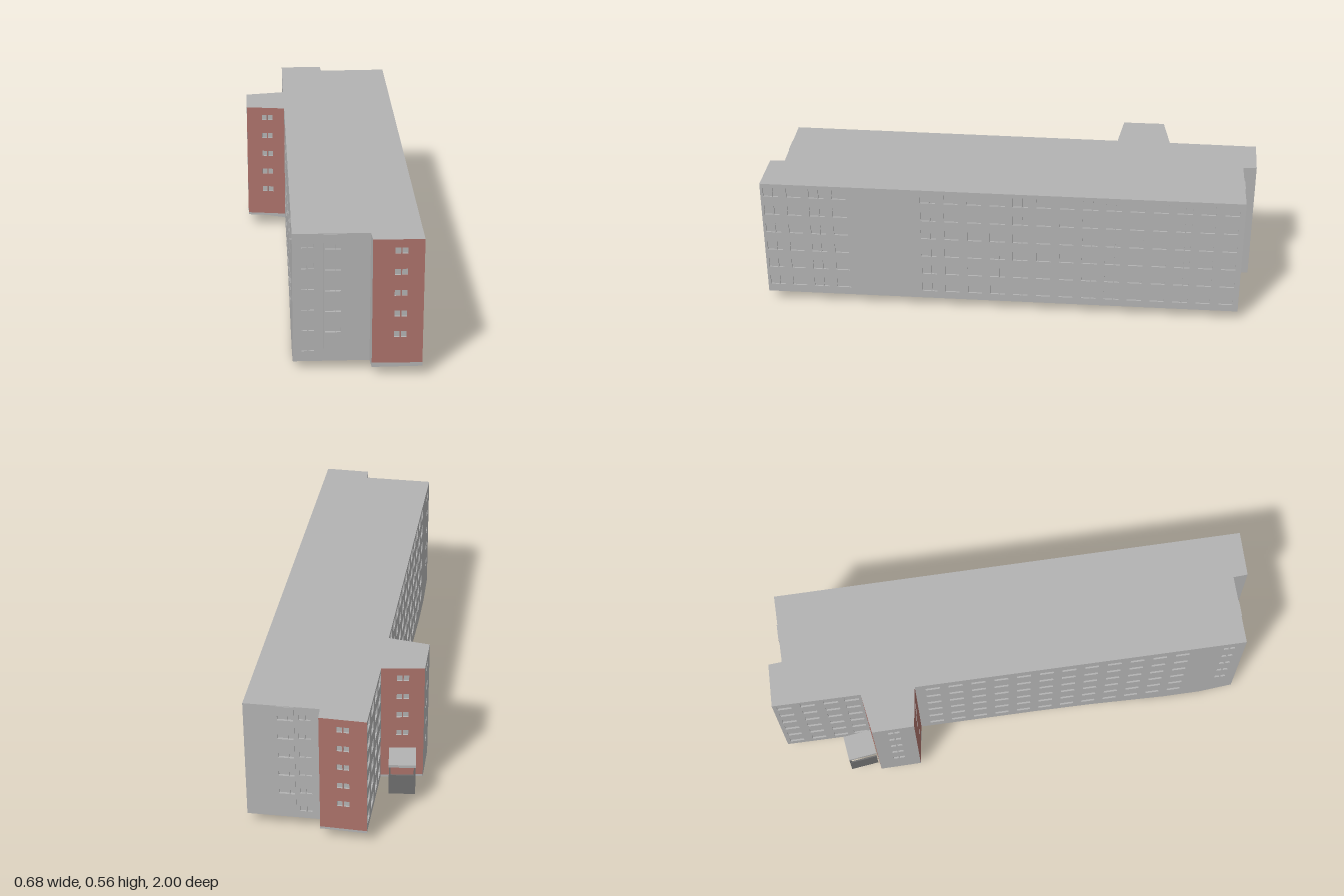
import * as THREE from 'three';
import { mergeGeometries } from 'three/addons/utils/BufferGeometryUtils.js';

const TOP = 0.565, RECESS = 0.007, STOREY = 0.0852;

function material(name, color) {
  const m = new THREE.MeshStandardMaterial({ color, side: THREE.DoubleSide });
  m.name = name;
  return m;
}

function mesh(name, geometry, mat) {
  const m = new THREE.Mesh(geometry, mat);
  m.name = name;
  return m;
}

// Rectangular opening: left, bottom, width, height
function rectPath(u, y, w, h) {
  const p = new THREE.Path();
  p.moveTo(u, y); p.lineTo(u, y + h); p.lineTo(u + w, y + h); p.lineTo(u + w, y);
  p.closePath();
  return p;
}

// Sunken window: a shallow box without its front face
function windowBox([u, y, w, h]) {
  const g = new THREE.BoxGeometry(w, h, RECESS);
  const index = Array.from(g.index.array);
  index.splice(24, 6);
  g.setIndex(index);
  g.clearGroups();
  g.translate(u + w / 2, y + h / 2, -RECESS / 2);
  return g;
}

// Window layouts, repeated on each storey
function storeys(from, make) {
  const list = [];
  for (let k = from; k < 6; k++) list.push(...make(k * STOREY));
  return list;
}
const bigWindow = (u) => storeys(0, (y) => [[u - 0.029, 0.08 + y, 0.058, 0.042]]);
const doubleWindow = (u) => storeys(0, (y) => [
  [u - 0.031, 0.08 + y, 0.036, 0.042], [u + 0.009, 0.08 + y, 0.022, 0.042]]);
const smallPair = (u, from) => storeys(from, (y) => [
  [u - 0.0235, 0.082 + y, 0.021, 0.024], [u + 0.0025, 0.082 + y, 0.021, 0.024]]);
const stairWindows = (u) => storeys(1, (y) => [
  [u - 0.03, 0.076 + y, 0.04, 0.02], [u + 0.011, 0.076 + y, 0.019, 0.02]]);

export function createModel() {
  const grey = material('greyConcrete', 0xb3b3b3);
  const red = material('redPlaster', 0xad736b);
  const dark = material('darkGrey', 0x707070);
  const model = new THREE.Group();
  model.name = 'apartmentBlock';

  // Footprint corners as x, z, height of the wall foot
  const plan = [
    [-0.145, 0.945, 0.04], [0.145, 0.94, 0.04], [0.15, 1, 0.042], [0.34, 1, 0.045],
    [0.295, -0.955, 0.05], [0.005, -0.945, 0.05], [0, -1, 0.05], [-0.18, -1, 0.05],
    [-0.175, -0.64, 0.05], [-0.34, -0.61, 0.05], [-0.335, -0.44, 0.05], [-0.17, -0.42, 0.042],
  ];

  // Window columns of the long sides
  const rightSide = [];
  for (let i = 0; i < 4; i++) {
    rightSide.push(...(i % 2 ? bigWindow : doubleWindow)(0.042 + i * 0.093));
  }
  for (let i = 0; i < 14; i++) {
    const make = [0, 3, 4, 7, 8, 11].includes(i) ? doubleWindow : bigWindow;
    rightSide.push(...make(0.682 + i * 0.094));
  }
  const leftSide = smallPair(1.3, 1);
  for (let i = 0; i < 12; i++) leftSide.push(...bigWindow(0.071 + i * 0.094));
  const leftRear = [0.045, 0.14, 0.235, 0.32].flatMap((u) => bigWindow(u));

  // One entry per plan edge; foot lists extra ground points from far end to near end
  const walls = [
    { name: 'frontWall', windows: smallPair(0.057, 0), panel: 0.151 },
    { name: 'frontStepWall' },
    { name: 'frontRedWall', red: true, windows: smallPair(0.105, 1) },
    { name: 'rightWall', windows: rightSide },
    { name: 'backWall', windows: smallPair(0.232, 0), panel: 0.159 },
    { name: 'backStepWall' },
    { name: 'backRedWall', red: true, windows: smallPair(0.09, 1) },
    { name: 'leftRearWall', windows: leftRear },
    { name: 'annexBackWall', red: true, windows: smallPair(0.084, 1) },
    { name: 'annexSideWall', windows: smallPair(0.085, 1) },
    { name: 'annexFrontWall', red: true, windows: smallPair(0.09, 1), foot: [[0.085, 0.05]] },
    { name: 'leftWall', windows: leftSide,
      foot: [[1.23, 0.004], [1.07, 0.002], [0.92, 0.016], [0.74, 0.033], [0.5, 0.041]] },
  ];

  walls.forEach((wall, i) => {
    const [x0, z0, y0] = plan[i];
    const [x1, z1, y1] = plan[(i + 1) % plan.length];
    const length = Math.hypot(x1 - x0, z1 - z0);
    const group = new THREE.Group();
    group.name = wall.name;
    group.position.set(x0, 0, z0);
    group.rotation.y = Math.atan2(z0 - z1, x1 - x0);

    const openings = [...(wall.windows || [])];
    const stairs = wall.panel ? stairWindows(wall.panel) : [];
    openings.push(...stairs);

    // Wall face following the ground line
    const foot = [[length, y1], ...(wall.foot || []), [0, y0]];
    const outline = (bottom, top) => new THREE.Shape(
      [[0, top], [length, top], ...bottom].map(([u, y]) => new THREE.Vector2(u, y)).reverse());
    const face = wall.red ? outline([[length, 0.06], [0, 0.06]], TOP) : outline(foot, TOP);
    openings.forEach((o) => face.holes.push(rectPath(...o)));
    group.add(mesh('wallFace', new THREE.ShapeGeometry(face), wall.red ? red : grey));
    if (wall.red) group.add(mesh('plinth', new THREE.ShapeGeometry(outline(foot, 0.06)), grey));

    // Thin stairwell panel
    if (wall.panel) {
      const u = wall.panel - 0.034;
      const strip = new THREE.Shape(rectPath(u, 0.06, 0.068, TOP - 0.062).getPoints());
      stairs.forEach((o) => strip.holes.push(rectPath(...o)));
      const g = new THREE.ExtrudeGeometry(strip, { depth: 0.003, bevelEnabled: false });
      group.add(mesh('stairPanel', g, grey));
    }
    if (openings.length) {
      group.add(mesh('windows', mergeGeometries(openings.map(windowBox)), grey));
    }
    model.add(group);
  });

  // Flat roof
  const roof = new THREE.ShapeGeometry(
    new THREE.Shape(plan.map(([x, z]) => new THREE.Vector2(x, -z))));
  roof.rotateX(-Math.PI / 2).translate(0, TOP, 0);
  model.add(mesh('roof', roof, grey));

  // Entrance porch behind the annex
  const porch = new THREE.Group();
  porch.name = 'entrancePorch';
  porch.position.set(-0.268, 0, -0.685);
  porch.rotation.y = 0.14;
  const box = (name, w, h, d, x, y, z, mat) => {
    const m = mesh(name, new THREE.BoxGeometry(w, h, d), mat);
    m.position.set(x, y, z);
    porch.add(m);
  };
  box('porchRoof', 0.106, 0.012, 0.117, 0, 0.188, 0, grey);
  box('porchBackParapet', 0.104, 0.09, 0.006, 0, 0.1, -0.055, dark);
  box('porchSideParapet', 0.006, 0.09, 0.115, -0.049, 0.1, 0, dark);
  for (const x of [-0.049, 0.049]) box('porchPost', 0.006, 0.13, 0.006, x, 0.12, -0.055, dark);
  model.add(porch);

  return model;
}
